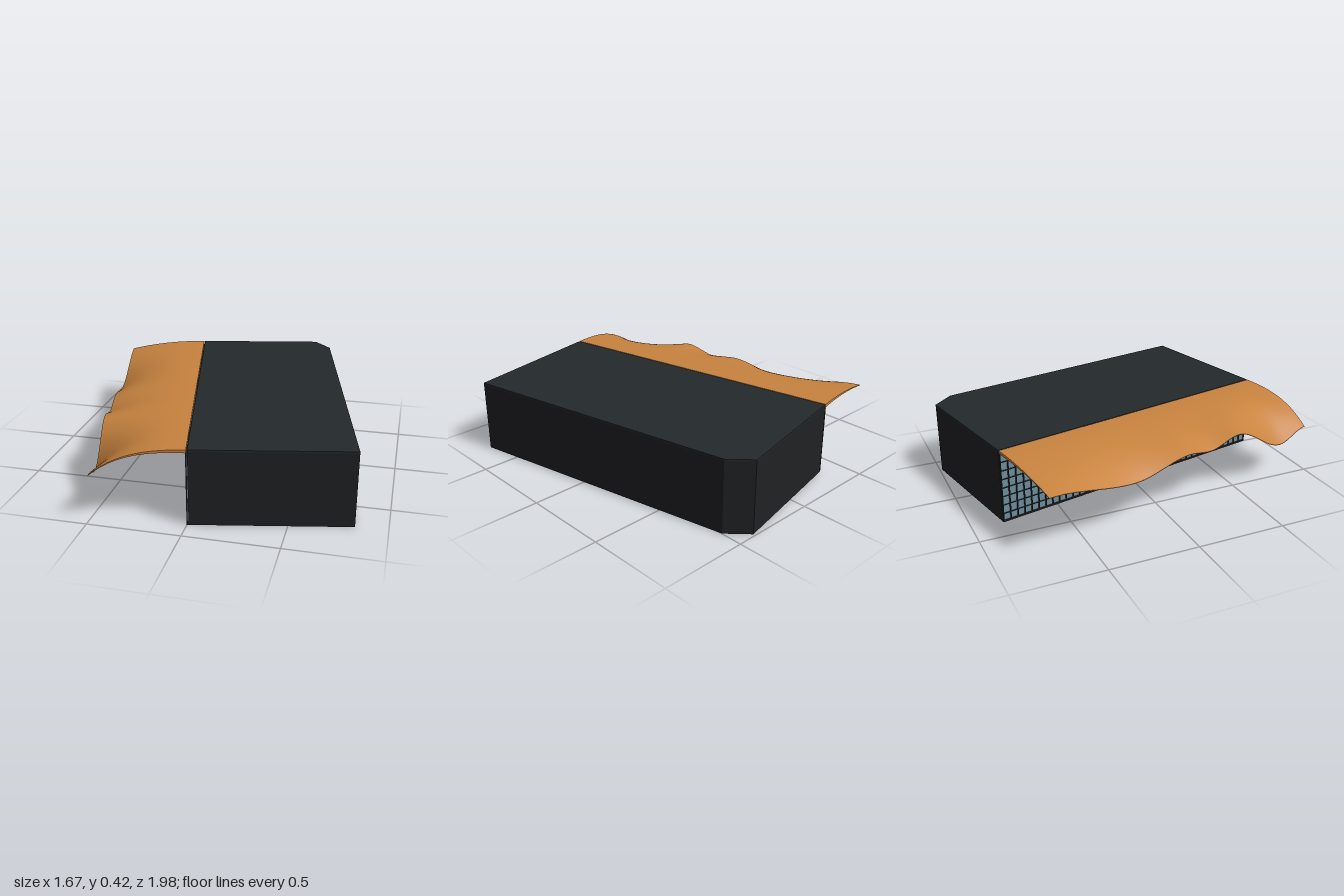
import * as THREE from 'three';

const LENGTH = 1.757, WIDTH = 0.85, HEIGHT = 0.42, CANOPY = 0.49;
const CUT_X = 0.767, CUT_Z = -1.626; // chamfered back corner

// Height of the canopy's free edge, from back (0) to front (1)
const EDGE = [[0, 0.362], [0.3, 0.285], [0.49, 0.343], [0.58, 0.322], [0.69, 0.365], [0.89, 0.212], [1, 0.275]];

function edgeHeight(t) {
  let i = 0;
  while (i < EDGE.length - 2 && t > EDGE[i + 1][0]) i++;
  const [t0, y0] = EDGE[i], [t1, y1] = EDGE[i + 1];
  return THREE.MathUtils.lerp(y0, y1, THREE.MathUtils.smoothstep(t, t0, t1));
}

const material = (color) => new THREE.MeshStandardMaterial({ color, side: THREE.DoubleSide });

export function createModel() {
  const model = new THREE.Group();
  // Everything is built square in this group, then turned about the facade's front corner
  const building = new THREE.Group();
  building.name = 'building';
  building.position.set(0, 0, 0.89);
  building.rotation.y = 0.2066;
  model.add(building);

  const roofMat = material(0x24292b);
  const wallMat = material(0x202124);
  const glassMat = material(0x6f8d9d);
  const woodMat = material(0xc8833f);

  const add = (name, geometry, mat, x = 0, y = 0, z = 0, parent = building) => {
    const mesh = new THREE.Mesh(geometry, mat);
    mesh.name = name;
    mesh.position.set(x, y, z);
    parent.add(mesh);
    return mesh;
  };

  // Roof slab with one cut corner
  const outline = [[0.008, 0], [WIDTH, 0], [WIDTH, CUT_Z], [CUT_X, -LENGTH], [0.008, -LENGTH]];
  const roofShape = new THREE.Shape(outline.map(([x, z]) => new THREE.Vector2(x, -z)));
  const roofGeometry = new THREE.ExtrudeGeometry(roofShape, { depth: 0.01, bevelEnabled: false });
  roofGeometry.rotateX(-Math.PI / 2);
  add('roof', roofGeometry, roofMat, 0, HEIGHT - 0.01, 0);

  // Thin outer walls on every side but the glazed one; the base is open
  const wallNames = ['frontWall', 'sideWall', 'cornerWall', 'backWall'];
  const T = 0.006;
  wallNames.forEach((name, i) => {
    const [x0, z0] = outline[i], [x1, z1] = outline[i + 1];
    const dx = x1 - x0, dz = z1 - z0, len = Math.hypot(dx, dz);
    const wall = add(name, new THREE.BoxGeometry(len, HEIGHT - 0.01, T), wallMat,
      (x0 + x1) / 2 + (dz / len) * T / 2, (HEIGHT - 0.01) / 2, (z0 + z1) / 2 - (dx / len) * T / 2);
    wall.rotation.y = Math.atan2(-dz, dx);
  });

  // Glazed facade with sill and mullion grid on the outside
  const glassTop = 0.4;
  add('glassFacade', new THREE.BoxGeometry(0.004, glassTop, LENGTH - 0.012), glassMat, 0.006, glassTop / 2, -LENGTH / 2);
  add('sill', new THREE.BoxGeometry(0.012, 0.01, LENGTH), wallMat, 0.004, 0.005, -LENGTH / 2);
  const mullions = new THREE.Group();
  mullions.name = 'mullions';
  building.add(mullions);
  const columns = 40, rows = 8;
  for (let i = 0; i <= columns; i++) {
    add('verticalMullion', new THREE.BoxGeometry(0.006, glassTop, 0.006), wallMat,
      0.001, glassTop / 2, -0.003 - (i / columns) * (LENGTH - 0.006), mullions);
  }
  for (let i = 1; i < rows; i++) {
    add('horizontalMullion', new THREE.BoxGeometry(0.005, 0.004, LENGTH), wallMat,
      0.001, (i / rows) * glassTop, -LENGTH / 2, mullions);
  }

  // Wavy canopy: a flat slab bent down towards its rippled free edge
  const canopy = new THREE.BoxGeometry(CANOPY, 1, LENGTH, 30, 1, 100);
  const p = canopy.attributes.position;
  for (let i = 0; i < p.count; i++) {
    const u = THREE.MathUtils.clamp(0.5 - p.getX(i) / CANOPY, 0, 1);
    const t = THREE.MathUtils.clamp(0.5 + p.getZ(i) / LENGTH, 0, 1);
    const drop = HEIGHT - edgeHeight(t);
    const top = HEIGHT - 0.055 * u ** 2 - (drop - 0.055) * u ** 3.5;
    const thickness = THREE.MathUtils.lerp(0.018, 0.003, u);
    p.setY(i, p.getY(i) > 0 ? top : top - thickness);
  }
  canopy.computeVertexNormals();
  add('canopy', canopy, woodMat, -CANOPY / 2 + 0.002, 0, -LENGTH / 2);

  return model;
}
